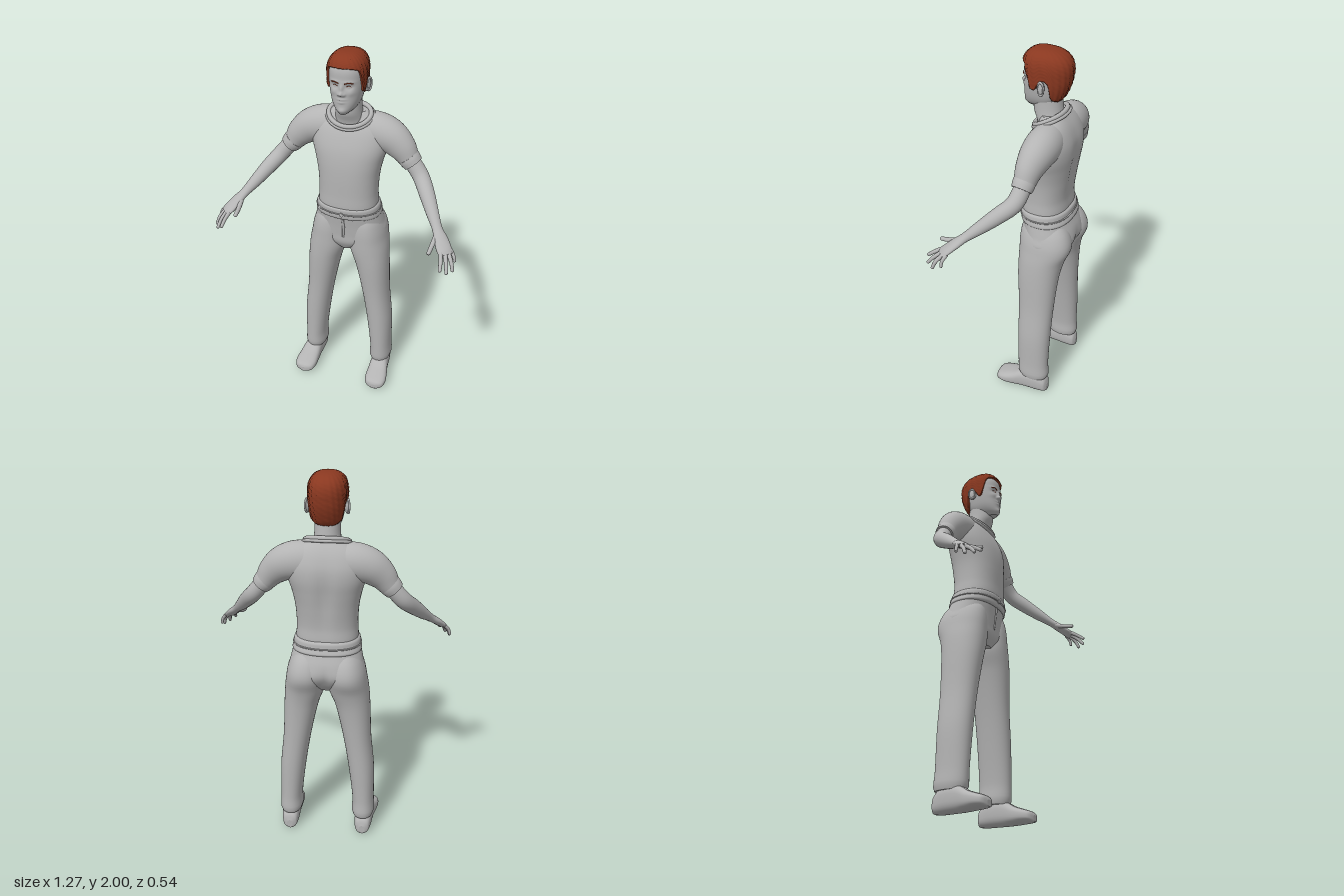
import * as THREE from 'three';

const V = (x, y, z) => new THREE.Vector3(x, y, z);
const grey = new THREE.MeshStandardMaterial({ color: 0xb4b4b4 });
grey.name = 'plain grey';
const rust = new THREE.MeshStandardMaterial({ color: 0x8a3820 });
rust.name = 'rust hair';

// Smooth lookup in a table whose rows start with a rising key
function at(table, k) {
  const last = table.length - 1;
  let i = 0;
  while (i < last - 1 && table[i + 1][0] < k) i++;
  const a = table[i], b = table[i + 1], p = table[Math.max(i - 1, 0)], q = table[Math.min(i + 2, last)];
  const h = b[0] - a[0], t = Math.min(Math.max((k - a[0]) / h, 0), 1), t2 = t * t, t3 = t2 * t;
  return a.slice(1).map((v, n) => {
    const w = b[n + 1], m0 = (w - p[n + 1]) / (b[0] - p[0]) * h, m1 = (q[n + 1] - v) / (q[0] - a[0]) * h;
    return (2 * t3 - 3 * t2 + 1) * v + (t3 - 2 * t2 + t) * m0 + (3 * t2 - 2 * t3) * w + (t3 - t2) * m1;
  });
}

// Skin over a row of rings, with closed ends
function loft(rows, caps = true) {
  const n = rows[0].length, pos = [], idx = [];
  rows.forEach(r => r.forEach(p => pos.push(p.x, p.y, p.z)));
  for (let j = 0; j < rows.length - 1; j++) for (let i = 0; i < n; i++) {
    const a = j * n + i, b = j * n + (i + 1) % n;
    idx.push(a, b, b + n, a, b + n, a + n);
  }
  if (caps) [rows[0], rows[rows.length - 1]].forEach((r, end) => {
    const s = pos.length / 3, c = V(0, 0, 0);
    r.forEach(p => { c.addScaledVector(p, 1 / n); pos.push(p.x, p.y, p.z); });
    pos.push(c.x, c.y, c.z);
    for (let i = 0; i < n; i++) {
      const a = s + i, b = s + (i + 1) % n;
      idx.push(s + n, end ? a : b, end ? b : a);
    }
  });
  const g = new THREE.BufferGeometry();
  g.setAttribute('position', new THREE.Float32BufferAttribute(pos, 3));
  g.setIndex(idx);
  g.computeVertexNormals();
  return g;
}

const pw = (c, e) => Math.sign(c) * Math.abs(c) ** (2 / e);
function ring(c, u, v, n = 40, e = 2.2) {
  return Array.from({ length: n }, (_, i) => {
    const a = i / n * Math.PI * 2;
    return c.clone().addScaledVector(u, pw(Math.cos(a), e)).addScaledVector(v, pw(Math.sin(a), e));
  });
}

// Upright body: rows of [y, xMin, xMax, zFront, zBack]
function upright(table, steps = 30, e = 2.3, rule) {
  const y0 = table[0][0], y1 = table[table.length - 1][0], rows = [];
  for (let j = 0; j <= steps; j++) {
    const y = y0 + (y1 - y0) * j / steps, [xa, xb, zf, zb] = at(table, y);
    rows.push(ring(V((xa + xb) / 2, y, (zf + zb) / 2), V(0, 0, (zf - zb) / 2), V((xb - xa) / 2, 0, 0), 56, e));
  }
  if (rule) rows.flat().forEach(rule);
  return loft(rows);
}
const even = table => table.map(([y, rx, zf, zb]) => [y, -rx, rx, zf, zb]);

// Limb along a curve: points [x, y, z, half height, half width]
function limb(pts, steps = 24, n = 24, e = 2) {
  const curve = new THREE.CatmullRomCurve3(pts.map(p => V(p[0], p[1], p[2])));
  const radii = pts.map((p, i) => [i / (pts.length - 1), p[3], p[4] ?? p[3]]);
  const rows = [];
  for (let j = 0; j <= steps; j++) {
    const t = j / steps, d = curve.getTangent(t), [a, b] = at(radii, t);
    const v = V(0, 1, 0).addScaledVector(d, -d.y).normalize(), u = v.clone().cross(d);
    rows.push(ring(curve.getPoint(t), u.multiplyScalar(b), v.multiplyScalar(a), n, e));
  }
  return loft(rows);
}

function mirrored(g) {
  const m = g.clone().scale(-1, 1, 1), ix = m.index.array;
  for (let i = 0; i < ix.length; i += 3) [ix[i], ix[i + 1]] = [ix[i + 1], ix[i]];
  return m;
}

// Skull outline by height, rounded off above the brow
const SKULL = [[1.712, .026, .018, -.05], [1.73, .048, .026, -.1], [1.76, .066, .028, -.15], [1.8, .077, .027, -.175],
  [1.85, .084, .026, -.193], [1.9, .086, .025, -.2]];
function headPoint(a, y, grow = 0, top = 1.983) {
  const [rx, zf, zb] = at(SKULL, y), zc = -.07;
  const k = y > 1.9 ? Math.max(0, 1 - ((y - 1.9) / (top - 1.9)) ** 2.6) ** (1 / 2.6) : 1;
  const c = Math.cos(a), d = (c > 0 ? zf - zc : zc - zb) + grow;
  return V(k * (rx + grow) * pw(Math.sin(a), 2.3), y, zc + k * d * pw(c, 2.3));
}

// Face relief: [x, y, width, height, depth]
const RELIEF = [[0, 1.823, .012, .011, .02], [0, 1.848, .008, .02, .012], [.014, 1.818, .007, .007, .008],
  [.035, 1.855, .017, .011, -.009], [.035, 1.855, .009, .006, .006], [.035, 1.878, .025, .007, .004],
  [0, 1.793, .02, .005, .007], [0, 1.779, .017, .005, .006], [0, 1.786, .024, .002, -.004],
  [.045, 1.825, .018, .014, .004], [0, 1.735, .02, .012, .006]];
function facePoint(a, y) {
  const p = headPoint(a, y);
  if (Math.cos(a) > 0) for (const [x, cy, w, h, d] of RELIEF)
    p.z += d * Math.exp(-(((Math.abs(p.x) - x) / w) ** 2) - ((y - cy) / h) ** 2);
  return p;
}

export function createModel() {
  const model = new THREE.Group();
  const add = (name, g, mat = grey) => {
    const m = new THREE.Mesh(g, mat);
    m.name = name;
    model.add(m);
  };
  const pair = (name, g, mat) => { add('left' + name, g, mat); add('right' + name, mirrored(g), mat); };
  const loop = (f, r) => new THREE.TubeGeometry(new THREE.CatmullRomCurve3(
    Array.from({ length: 28 }, (_, i) => f(i / 28 * Math.PI * 2)), true), 72, r, 8, true);

  // Head and neck
  const headRows = [];
  for (let j = 0; j <= 76; j++) {
    const y = 1.712 + .271 * Math.sin(j / 76 * Math.PI / 2 * .98) / Math.sin(Math.PI / 2 * .98);
    headRows.push(Array.from({ length: 112 }, (_, i) => facePoint(i / 112 * Math.PI * 2, y)));
  }
  add('head', loft(headRows));
  add('neck', upright(even([[1.58, .085, -.05, -.19], [1.65, .073, -.04, -.175], [1.7, .065, -.02, -.165], [1.78, .062, -.02, -.155]]), 14, 2.1));

  // Ears, eyebrows and lashes
  pair('Ear', new THREE.SphereGeometry(1, 16, 12).scale(.01, .034, .021).rotateY(-.3).rotateX(-.15).translate(.092, 1.836, -.092));
  pair('EarRim', new THREE.TorusGeometry(.024, .005, 8, 24).scale(.75, 1.3, 1).rotateY(Math.PI / 2 - .35).translate(.099, 1.838, -.094));
  const strip = (y0, lift, r, a0, a1) => new THREE.TubeGeometry(new THREE.CatmullRomCurve3(
    Array.from({ length: 7 }, (_, i) => facePoint(a0 + (a1 - a0) * i / 6, y0 + lift * Math.sin(i / 6 * Math.PI)))), 18, r, 6);
  pair('Eyebrow', strip(1.872, .006, .0028, .13, .62), rust);
  pair('Lash', strip(1.856, .005, .0015, .2, .5), rust);

  // Cropped hair following a hairline from brow to nape
  const HAIRLINE = [[0, 1.945], [.6, 1.942], [.95, 1.925], [1.15, 1.87], [1.3, 1.825], [1.5, 1.825], [1.65, 1.865],
    [1.9, 1.862], [2.1, 1.79], [2.5, 1.765], [3.15, 1.755]];
  const hairRows = [];
  for (let j = -1; j <= 40; j++) hairRows.push(Array.from({ length: 112 }, (_, i) => {
    const a = i / 112 * Math.PI * 2, [low] = at(HAIRLINE, Math.min(a, Math.PI * 2 - a));
    const t = Math.max(j, 0) / 40, y = low + (2 - low) * Math.sin(t * Math.PI / 2);
    const tuft = .0025 * Math.sin(a * 17 + j * 1.1) * Math.sin(a * 5 - j * .9) + .0015 * Math.sin(a * 31 + j * 2.3);
    return headPoint(a, y, j < 0 ? -.006 : .01 + tuft, 2);
  }));
  add('hair', loft(hairRows, false), rust);

  // Shirt, with a groove down the spine
  add('shirt', upright(even([[1.165, .156, .018, -.214], [1.18, .159, .023, -.219], [1.25, .155, .022, -.216], [1.35, .16, .022, -.227],
    [1.43, .175, .018, -.238], [1.5, .194, .007, -.246], [1.56, .198, -.012, -.243], [1.61, .185, -.035, -.228],
    [1.65, .15, -.062, -.208], [1.69, .085, -.075, -.178]]), 44, 2.35, p => {
    if (p.z < -.12) p.z += .014 * Math.exp(-((p.x / .035) ** 2) - ((p.y - 1.42) / .15) ** 2);
  }));
  add('collar', loop(a => V(.108 * Math.sin(a), 1.665 - .038 * Math.cos(a) + .008 * Math.sin(a) ** 2, -.104 + .07 * Math.cos(a)), .012));
  add('collarSeam', loop(a => V(.12 * Math.sin(a), 1.653 - .04 * Math.cos(a) + .012 * Math.sin(a) ** 2, -.108 + .08 * Math.cos(a)), .008));
  pair('Sleeve', limb([[.06, 1.575, -.137, .1, .08], [.14, 1.58, -.135, .097, .086], [.21, 1.56, -.13, .088, .08],
    [.268, 1.515, -.122, .073, .065], [.305, 1.468, -.118, .056, .053], [.328, 1.443, -.115, .049, .05]], 24, 36));
  pair('Cuff', limb([[.303, 1.472, -.117, .056, .054], [.316, 1.457, -.116, .055, .054], [.332, 1.439, -.114, .05, .05]], 8, 36));

  // Bare arms and hands
  pair('Arm', limb([[.3, 1.475, -.117, .042], [.338, 1.43, -.114, .042], [.378, 1.382, -.098, .042], [.428, 1.325, -.035, .039],
    [.475, 1.268, .033, .031, .032], [.515, 1.222, .09, .021, .026], [.545, 1.19, .13, .019, .036],
    [.575, 1.155, .17, .015, .04], [.588, 1.142, .184, .01, .034]], 44, 28));
  const fingers = {
    Thumb: [[.522, 1.207, .105], [.513, 1.178, .17], [.508, 1.163, .23]],
    IndexFinger: [[.558, 1.155, .185], [.57, 1.13, .228], [.576, 1.1, .267]],
    MiddleFinger: [[.578, 1.15, .178], [.597, 1.115, .222], [.606, 1.08, .251]],
    RingFinger: [[.591, 1.149, .165], [.617, 1.113, .197], [.629, 1.075, .213]],
    LittleFinger: [[.598, 1.155, .147], [.62, 1.127, .16], [.628, 1.098, .163]],
  };
  for (const [name, [a, b, c]] of Object.entries(fingers)) {
    const r = name === 'Thumb' ? .012 : name === 'LittleFinger' ? .0085 : .0098;
    const tip = c.map((v, i) => v + (c[i] - b[i]) * .08);
    pair(name, limb([[...a, r * 1.15], [...b, r], [...c, r * .8], [...tip, r * .3]], 14, 12));
  }

  // Trousers
  add('trouserSeat', upright(even([[.9, .05, -.03, -.19], [.95, .15, -.004, -.24], [1, .2, .0, -.266], [1.06, .188, .006, -.258],
    [1.12, .174, .014, -.235], [1.17, .163, .019, -.218]]), 24, 2.3, p => {
    if (p.z < -.12) p.z += .016 * Math.exp(-((p.x / .022) ** 2) - ((p.y - .97) / .06) ** 2);
  }));
  pair('TrouserLeg', upright([[.105, .147, .26, -.035, -.198], [.125, .141, .266, -.027, -.205], [.2, .143, .262, -.025, -.2], [.4, .12, .258, -.02, -.203],
    [.6, .088, .238, -.014, -.208], [.8, .044, .228, .0, -.222], [.9, .008, .22, .004, -.242],
    [.97, .002, .209, .004, -.27], [1.02, .004, .2, .003, -.27], [1.08, .015, .178, -.005, -.245], [1.12, .03, .15, -.02, -.21]], 50, 2.2));
  add('waistband', upright(even([[1.115, .172, .015, -.236], [1.122, .178, .023, -.242], [1.15, .172, .026, -.232],
    [1.178, .167, .028, -.228], [1.186, .158, .02, -.218]]), 14));
  add('waistSeam', loop(a => V(.172 * pw(Math.sin(a), 2.3), 1.15, -.103 + .13 * pw(Math.cos(a), 2.3)), .004));
  add('button', new THREE.CylinderGeometry(.011, .011, .008, 20).rotateX(Math.PI / 2).translate(0, 1.15, .029));
  add('fly', limb([[0, 1.115, .012, .006, .008], [.004, 1.06, .004, .006, .008], [0, .99, -.003, .006, .006]], 10, 10));

  // Shoes: rows of [z, centre x, half width, height]
  const SHOE = [[-.205, .205, .016, .05], [-.195, .205, .036, .085], [-.15, .207, .047, .125], [-.06, .212, .052, .125],
    [0, .217, .059, .092], [.05, .22, .062, .07], [.085, .221, .052, .054], [.097, .221, .035, .043], [.102, .221, .014, .03]];
  const shoeRows = [];
  for (let j = 0; j <= 40; j++) {
    const z = -.0515 - .1535 * Math.cos(j / 40 * Math.PI), [cx, rx, h] = at(SHOE, z);
    const lift = Math.max(0, .012 - h * .1) + .004 * Math.max(0, z) / .1;
    shoeRows.push(ring(V(cx, lift + h / 2, z), V(rx, 0, 0), V(0, h / 2, 0), 36, 2.7));
  }
  pair('Shoe', loft(shoeRows));
  return model;
}
